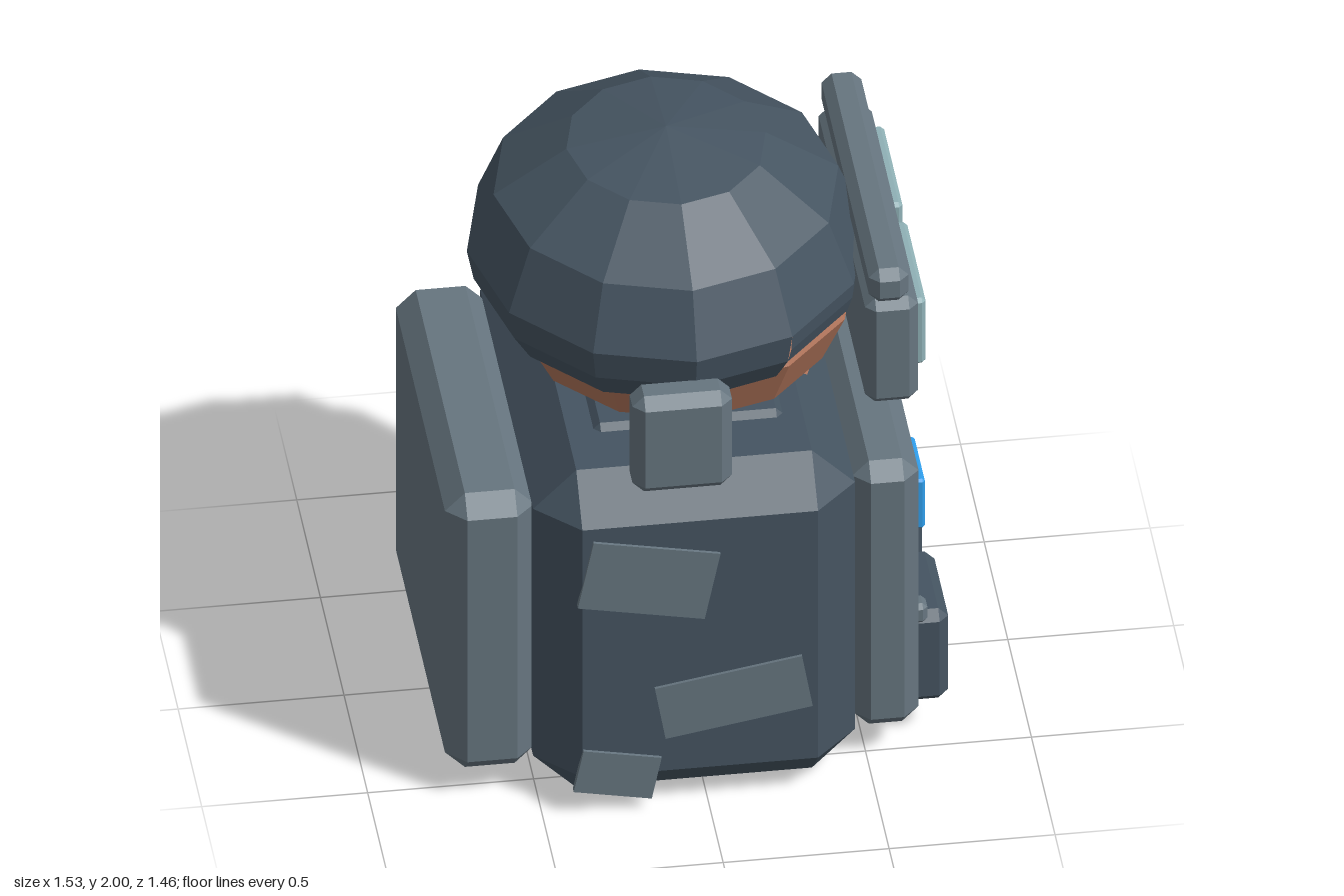
import * as THREE from 'three';
import { ConvexGeometry } from 'three/addons/geometries/ConvexGeometry.js';

const mat = (color, side = THREE.FrontSide) =>
  new THREE.MeshStandardMaterial({ color, flatShading: true, side });

// Box with bevelled edges, given by its min and max corners
function bevelBox(min, max, c) {
  const h = max.map((v, i) => (v - min[i]) / 2);
  const mid = max.map((v, i) => (v + min[i]) / 2);
  const pts = [];
  for (const sx of [-1, 1]) for (const sy of [-1, 1]) for (const sz of [-1, 1])
    for (let full = 0; full < 3; full++) {
      const p = [sx, sy, sz].map((s, i) => s * (i === full ? h[i] : h[i] - c));
      pts.push(new THREE.Vector3(...p));
    }
  return new ConvexGeometry(pts).translate(...mid);
}

export function createModel() {
  const model = new THREE.Group();
  model.name = 'soldierBust';

  const dark = mat(0x455461);
  const grey = mat(0x66757f);
  const skin = mat(0xb0745a);
  const glass = mat(0x8fb0b5);
  const blue = mat(0x2f9dea);
  const shell = mat(0x455461, THREE.DoubleSide);

  function add(name, geometry, material, parent = model) {
    const mesh = new THREE.Mesh(geometry, material);
    mesh.name = name;
    parent.add(mesh);
    return mesh;
  }
  const box = (name, min, max, c, material) => add(name, bevelBox(min, max, c), material);
  // The same box on both sides of z = 0
  function pair(name, min, max, c, material) {
    box(name + 'Front', min, max, c, material);
    box(name + 'Back', [min[0], min[1], -max[2]], [max[0], max[1], -min[2]], c, material);
  }

  // Torso, collar, chest plate and backpack
  box('torso', [-0.51, 0, -0.69], [0.46, 1.17, 0.69], 0.13, dark);
  box('collar', [-0.3, 1.1, -0.38], [0.27, 1.19, 0.38], 0.02, dark);
  box('chestPlate', [0.46, 0.1, -0.55], [0.66, 1.07, 0.55], 0.05, grey);
  box('backpack', [-0.77, 0.08, -0.58], [-0.5, 1.09, 0.58], 0.06, grey);

  // Chest lights, pouches and clasps
  pair('chestLight', [0.65, 0.75, 0.2], [0.69, 0.93, 0.43], 0.008, blue);
  pair('pouch', [0.63, 0.12, 0.105], [0.76, 0.45, 0.455], 0.03, dark);
  pair('clasp', [0.62, 0.44, 0.42], [0.69, 0.51, 0.49], 0.015, grey);

  // Cloth patches on both flanks: x, y, width, height, tilt
  const patches = [
    [-0.18, 0.84, 0.39, 0.24, -0.2],
    [0.075, 0.385, 0.45, 0.19, 0.17],
    [-0.275, 0.135, 0.24, 0.15, -0.2],
  ];
  for (const side of [1, -1]) for (const [x, y, w, h, tilt] of patches) {
    const patch = add('patch', new THREE.BoxGeometry(w, h, 0.02), grey);
    patch.position.set(x, y, side * 0.69);
    patch.rotation.z = side * tilt;
  }

  // Neck and head
  const neck = add('neck', new THREE.SphereGeometry(1, 10, 6), skin);
  neck.scale.set(0.37, 0.14, 0.33);
  neck.position.set(0.05, 1.12, 0);
  const head = add('head', new THREE.SphereGeometry(1, 12, 6), skin);
  head.scale.set(0.54, 0.33, 0.58);
  head.position.set(0, 1.445, 0);

  // Helmet: dome, longer skirt behind, short brim over the face (+x)
  const helmet = new THREE.Group();
  helmet.name = 'helmet';
  helmet.scale.set(0.6, 0.4, 0.655);
  helmet.position.set(-0.03, 1.6, 0);
  model.add(helmet);
  const { PI } = Math;
  add('dome', new THREE.SphereGeometry(1, 12, 3, 0, 2 * PI, 0, PI / 2), shell, helmet);
  // Sphere angle phi = PI points to +x
  add('skirt', new THREE.SphereGeometry(1, 8, 1, PI * 4 / 3, PI * 4 / 3, PI / 2, PI / 6), shell, helmet);
  add('brim', new THREE.SphereGeometry(1, 4, 1, PI * 2 / 3, PI * 2 / 3, PI / 2, PI / 12), shell, helmet);
  // Rim turned in under the skirt
  const rim = new THREE.LatheGeometry(
    [new THREE.Vector2(0.72, -0.6), new THREE.Vector2(0.866, -0.5)], 8, PI * 5 / 6, PI * 4 / 3);
  rim.rotateY(-PI / 3);
  add('rim', rim, shell, helmet);

  // Ear cups
  pair('earCup', [-0.23, 1.17, 0.6], [0.07, 1.52, 0.73], 0.035, grey);

  // Goggles with brow bar and two lenses
  box('goggleFrame', [0.5, 1.28, -0.52], [0.66, 1.66, 0.52], 0.03, grey);
  box('browBar', [0.51, 1.655, -0.53], [0.63, 1.775, 0.53], 0.03, grey);
  pair('lens', [0.65, 1.37, 0.04], [0.69, 1.61, 0.45], 0.012, glass);

  return model;
}
